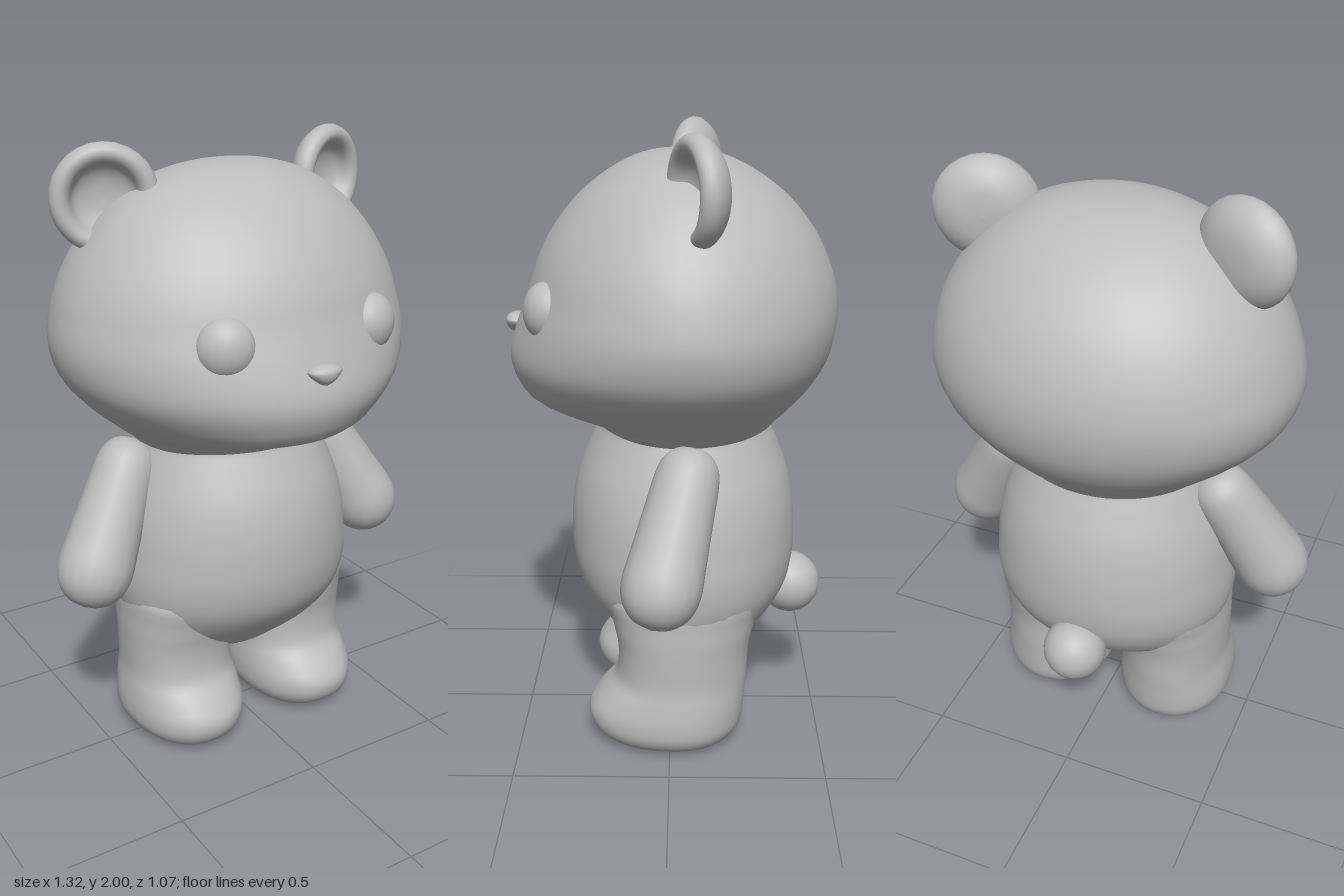
import * as THREE from 'three';

const grey = new THREE.MeshStandardMaterial({ color: 0xbcbcbc });
grey.name = 'soft grey';

// Catmull-Rom sampling of a list of cross-sections
function smoothRings(rings, steps) {
  const out = [];
  const at = (i) => rings[Math.min(Math.max(i, 0), rings.length - 1)];
  for (let i = 0; i < rings.length - 1; i++) {
    for (let s = 0; s < steps; s++) {
      const t = s / steps;
      out.push(rings[i].map((p1, k) => {
        const p0 = at(i - 1)[k], p2 = at(i + 1)[k], p3 = at(i + 2)[k];
        return 0.5 * (2 * p1 + (p2 - p0) * t + (2 * p0 - 5 * p1 + 4 * p2 - p3) * t * t
          + (3 * p1 - p0 - 3 * p2 + p3) * t * t * t);
      }));
    }
  }
  out.push(rings[rings.length - 1]);
  return out;
}

// Rounded body from rings [y, half width, front z, back z, centre x], bottom to top
function loft(rings, zMid, frontPower = 2, seg = 48, steps = 4) {
  const rows = smoothRings(rings, steps);
  const pos = [], index = [];
  rows.forEach(([y, a, zf, zb, xc]) => {
    for (let i = 0; i < seg; i++) {
      const t = (i / seg) * Math.PI * 2;
      const s = Math.sin(t), c = Math.cos(t);
      const e = c > 0 ? 2 / frontPower : 1;
      const depth = c > 0 ? zf - zMid : zMid - zb;
      pos.push(xc + a * Math.sign(s) * Math.abs(s) ** e, y,
        zMid + depth * Math.sign(c) * Math.abs(c) ** e);
    }
  });
  for (let j = 0; j < rows.length - 1; j++) {
    for (let i = 0; i < seg; i++) {
      const n = (i + 1) % seg;
      const a = j * seg + i, b = j * seg + n, c = a + seg, d = b + seg;
      if (j > 0) index.push(a, b, c);
      else if (rows[0][1] > 0.001) index.push(a, b, c);
      if (j < rows.length - 2 || rows[rows.length - 1][1] > 0.001) index.push(b, d, c);
    }
  }
  const g = new THREE.BufferGeometry();
  g.setAttribute('position', new THREE.Float32BufferAttribute(pos, 3));
  g.setIndex(index);
  g.computeVertexNormals();
  return g;
}

function lathe(points, seg) {
  const curve = new THREE.SplineCurve(points.map(([r, y]) => new THREE.Vector2(r, y)));
  const pts = curve.getPoints(points.length * 3);
  pts.forEach((p) => { p.x = Math.max(p.x, 0); });
  return new THREE.LatheGeometry(pts, seg);
}

export function createModel() {
  const model = new THREE.Group();
  const add = (name, geometry, x = 0, y = 0, z = 0) => {
    const mesh = new THREE.Mesh(geometry, grey);
    mesh.name = name;
    mesh.position.set(x, y, z);
    model.add(mesh);
    return mesh;
  };

  // Wide head with a low muzzle
  add('head', loft([
    [1.03, 0, -0.03, -0.03, 0],
    [1.04, 0.28, 0.2, -0.29, 0],
    [1.09, 0.36, 0.28, -0.36, 0],
    [1.15, 0.435, 0.45, -0.415, 0],
    [1.22, 0.51, 0.505, -0.47, 0],
    [1.3, 0.57, 0.52, -0.51, 0],
    [1.4, 0.595, 0.492, -0.53, 0],
    [1.5, 0.58, 0.455, -0.525, 0],
    [1.6, 0.545, 0.42, -0.495, 0],
    [1.7, 0.485, 0.365, -0.44, 0],
    [1.8, 0.395, 0.28, -0.35, 0],
    [1.88, 0.27, 0.17, -0.23, 0],
    [1.92, 0.13, 0.07, -0.12, 0],
    [1.928, 0, -0.03, -0.03, 0],
  ], -0.03, 1.88));

  // Pear-shaped torso
  add('torso', loft([
    [0.25, 0, -0.04, -0.04, 0],
    [0.27, 0.12, 0.07, -0.15, 0],
    [0.33, 0.27, 0.15, -0.24, 0],
    [0.4, 0.365, 0.225, -0.325, 0],
    [0.5, 0.41, 0.3, -0.39, 0],
    [0.6, 0.423, 0.33, -0.413, 0],
    [0.7, 0.415, 0.335, -0.415, 0],
    [0.8, 0.4, 0.328, -0.407, 0],
    [0.9, 0.372, 0.305, -0.385, 0],
    [1.0, 0.33, 0.262, -0.345, 0],
    [1.06, 0.305, 0.235, -0.32, 0],
    [1.12, 0.3, 0.23, -0.32, 0],
  ], -0.04));

  // Round tail
  add('tail', new THREE.SphereGeometry(0.105, 20, 14), 0, 0.462, -0.408);

  // Small nose, narrowed towards its lower edge
  const nose = new THREE.SphereGeometry(1, 20, 14);
  const p = nose.attributes.position;
  for (let i = 0; i < p.count; i++) {
    const y = p.getY(i);
    p.setXYZ(i, p.getX(i) * 0.058 * (y < 0 ? 1 + y * 0.45 : 1), y * (y < 0 ? 0.042 : 0.024), p.getZ(i) * 0.038);
  }
  nose.computeVertexNormals();
  add('nose', nose, 0, 1.387, 0.497);

  const eyeShape = new THREE.SphereGeometry(1, 24, 16).scale(0.09, 0.092, 0.07);

  // Cupped ear with a thick rolled rim
  const earShape = lathe([
    [0, -0.065], [0.08, -0.058], [0.135, -0.03], [0.165, 0.01], [0.158, 0.043],
    [0.135, 0.055], [0.11, 0.042], [0.09, 0.005], [0.05, -0.015], [0, -0.02],
  ], 28).rotateX(Math.PI / 2);

  // Arm: tapered capsule, wider at the paw
  const armShape = lathe([
    [0, -0.295], [0.06, -0.28], [0.105, -0.235], [0.123, -0.17], [0.118, -0.08],
    [0.108, 0.06], [0.1, 0.17], [0.085, 0.225], [0.05, 0.26], [0, 0.27],
  ], 20);

  for (const side of [1, -1]) {
    const label = side > 0 ? 'left' : 'right';

    add(label + 'Eye', eyeShape, side * 0.26, 1.465, 0.372).rotation.y = side * 0.45;

    add(label + 'Ear', earShape, side * 0.397, 1.835, -0.09).rotation.y = side * 0.36;

    const top = new THREE.Vector3(side * 0.375, 0.98, -0.055);
    const paw = new THREE.Vector3(side * 0.54, 0.675, 0.025);
    const arm = add(label + 'Arm', armShape);
    arm.position.copy(top).add(paw).multiplyScalar(0.5);
    arm.quaternion.setFromUnitVectors(new THREE.Vector3(0, 1, 0), top.clone().sub(paw).normalize());

    // Leg and foot in one piece, toes forward
    add(label + 'Leg', loft([
      [0.005, 0, -0.02, -0.02],
      [0.008, 0.1, 0.13, -0.13],
      [0.025, 0.16, 0.215, -0.2],
      [0.07, 0.194, 0.262, -0.235],
      [0.13, 0.2, 0.27, -0.245],
      [0.19, 0.193, 0.23, -0.25],
      [0.25, 0.184, 0.18, -0.255],
      [0.35, 0.184, 0.172, -0.26],
      [0.45, 0.182, 0.19, -0.28],
      [0.56, 0.15, 0.19, -0.28],
      [0.6, 0, -0.02, -0.02],
    ].map((r) => [...r, side * (r[0] > 0.5 ? 0.24 : 0.228)]), -0.02, 2.2));
  }

  return model;
}
